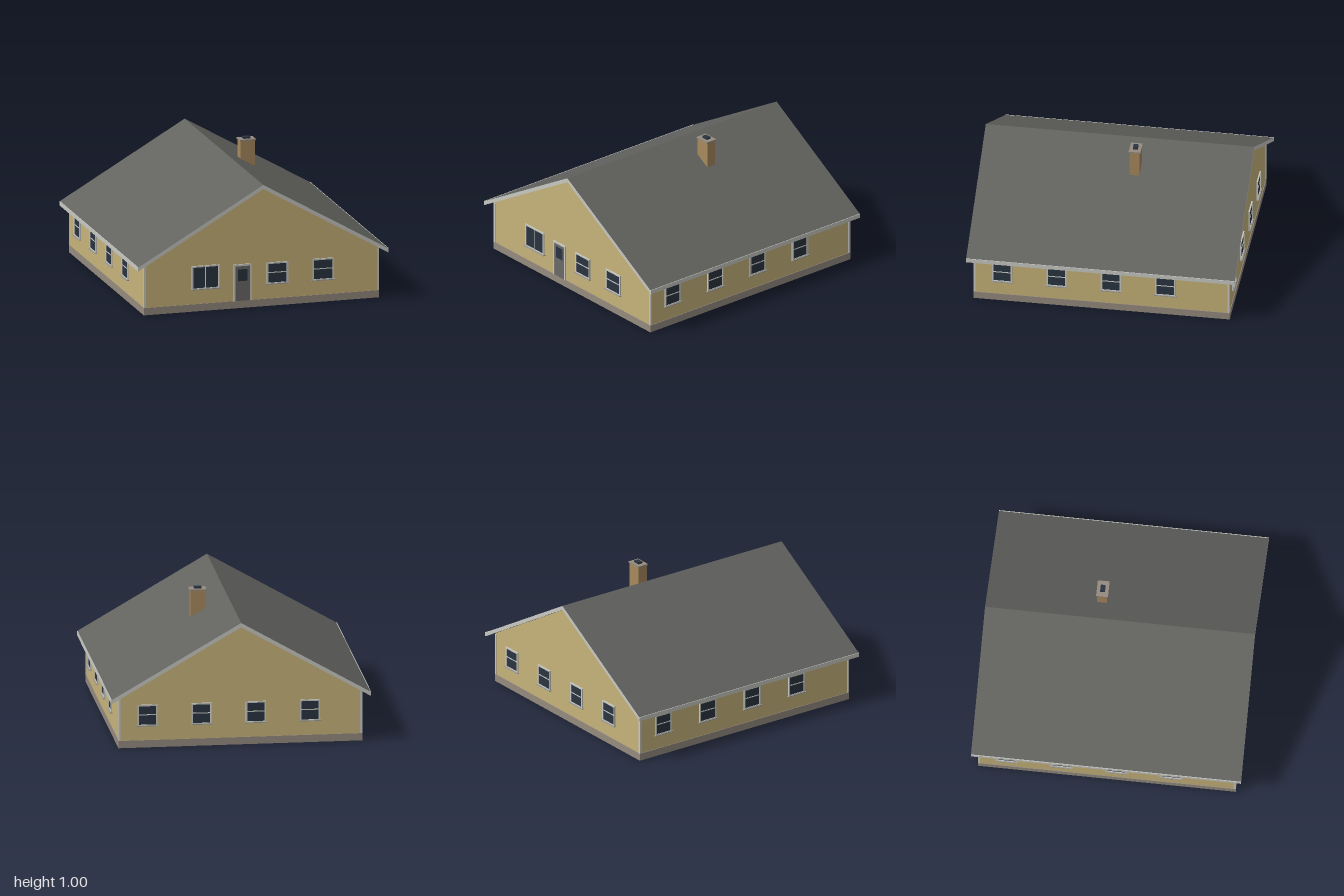
import * as THREE from 'three';

const mat = (name, color) => {
  const m = new THREE.MeshStandardMaterial({ color });
  m.name = name;
  return m;
};

export function createModel() {
  const M = {
    wall: mat('yellow siding', 0xc8b47a),
    roof: mat('dark grey shingle', 0x62625f),
    trim: mat('pale trim', 0xc9c9c4),
    stone: mat('grey foundation', 0x958b7f),
    glass: mat('dark glass', 0x2a3440),
    brick: mat('tan brick', 0xa88a5e),
    door: mat('grey door', 0x6b6a67),
    sill: mat('grey sill', 0x9a9a98),
  };
  const house = new THREE.Group();
  house.name = 'house';

  // Box given by its low and high corners
  const box = (parent, name, material, [x0, y0, z0], [x1, y1, z1]) => {
    const mesh = new THREE.Mesh(new THREE.BoxGeometry(x1 - x0, y1 - y0, z1 - z0), material);
    mesh.position.set((x0 + x1) / 2, (y0 + y1) / 2, (z0 + z1) / 2);
    mesh.name = name;
    parent.add(mesh);
    return mesh;
  };
  // Outline in x and y, extruded evenly about z = 0
  const prism = (name, materials, points, depth) => {
    const shape = new THREE.Shape(points.map(([x, y]) => new THREE.Vector2(x, y)));
    const geo = new THREE.ExtrudeGeometry(shape, { depth, bevelEnabled: false });
    geo.translate(0, 0, -depth / 2);
    const mesh = new THREE.Mesh(geo, materials);
    mesh.name = name;
    house.add(mesh);
  };

  const W = 0.9, D = 0.95, BASE = 0.055, EAVE = 0.385;

  // Foundation and walls with both gables
  box(house, 'foundation', M.stone, [-0.905, 0, -0.955], [0.905, BASE, 0.955]);
  prism('walls', M.wall, [[-W, BASE], [W, BASE], [W, EAVE], [0, 0.905], [-W, EAVE]], 2 * D);

  // Roof slabs: shingle on the slopes, trim on the gable ends
  prism('roof', [M.trim, M.roof],
    [[-0.96, 0.35], [0, 0.904], [0.96, 0.35], [0.96, 0.381], [0, 0.936], [-0.96, 0.381]], 2);

  for (const s of [-1, 1]) {
    // Eave boards
    const f = box(house, 'eaveBoard', M.trim, [-0.003, 0.35, -1], [0.003, 0.381, 1]);
    f.position.x = s * 0.962;
    // Corner boards
    for (const t of [-1, 1]) {
      const c = box(house, 'cornerBoard', M.trim, [-0.008, BASE, -0.008], [0.008, 0.376, 0.008]);
      c.position.x = s * 0.897;
      c.position.z = t * 0.947;
    }
  }

  // Rectangular surround on a wall plane; open at the foot for doors
  const surround = (g, x0, x1, y0, y1, w, foot) => {
    box(g, 'frameSide', M.trim, [x0, y0, 0], [x0 + w, y1, 0.01]);
    box(g, 'frameSide', M.trim, [x1 - w, y0, 0], [x1, y1, 0.01]);
    box(g, 'frameTop', M.trim, [x0 + w, y1 - w, 0], [x1 - w, y1, 0.01]);
    if (foot) box(g, 'frameFoot', M.trim, [x0 + w, y0, 0], [x1 - w, y0 + 0.006, 0.01]);
  };

  const addWindow = (side, cx, w, y0, y1, upright) => {
    const g = new THREE.Group();
    g.name = 'window';
    g.position.x = cx;
    const h = w / 2, ym = (y0 + y1) / 2;
    surround(g, -h, h, y0, y1, 0.011, true);
    box(g, 'pane', M.glass, [-h + 0.01, y0 + 0.005, 0], [h - 0.01, y1 - 0.01, 0.005]);
    if (upright) box(g, 'mullion', M.trim, [-0.003, y0, 0], [0.003, y1, 0.008]);
    else box(g, 'glazingBar', M.trim, [-h + 0.01, ym - 0.001, 0], [h - 0.01, ym + 0.006, 0.008]);
    box(g, 'sill', M.sill, [-h - 0.008, y0 - 0.006, 0], [h + 0.008, y0, 0.017]);
    side.add(g);
  };

  // Group whose local z points out of one wall
  const wallSide = (name, angle, dist) => {
    const g = new THREE.Group();
    g.name = name;
    g.rotation.y = angle;
    g.position.set(Math.sin(angle) * dist, 0, Math.cos(angle) * dist);
    house.add(g);
    return g;
  };

  // Front: picture window, door and two sash windows
  const front = wallSide('frontOpenings', 0, D);
  addWindow(front, -0.43, 0.215, 0.17, 0.345, true);
  for (const x of [0.122, 0.475]) addWindow(front, x, 0.165, 0.17, 0.33, false);
  const door = new THREE.Group();
  door.name = 'frontDoor';
  door.position.x = -0.145;
  surround(door, -0.07, 0.07, BASE, 0.333, 0.014, false);
  box(door, 'doorLeaf', M.door, [-0.057, BASE, 0], [0.057, 0.32, 0.006]);
  box(door, 'doorGlass', M.glass, [-0.036, 0.205, 0.004], [0.036, 0.295, 0.008]);
  front.add(door);

  // Sash windows round the other three walls
  for (const [name, angle, dist, xs] of [
    ['leftOpenings', Math.PI / 2, W, [-0.74, -0.335, 0.07, 0.475]],
    ['rightOpenings', -Math.PI / 2, W, [-0.74, -0.335, 0.07, 0.475]],
    ['backOpenings', Math.PI, D, [-0.69, -0.288, 0.115, 0.517]],
  ]) {
    const side = wallSide(name, angle, dist);
    for (const x of xs) addWindow(side, x, 0.15, 0.168, 0.325, false);
  }

  // Chimney
  box(house, 'chimneyStack', M.brick, [0.16, 0.76, -0.188], [0.272, 0.976, -0.112]);
  box(house, 'chimneyCap', M.stone, [0.154, 0.976, -0.194], [0.278, 0.986, -0.106]);
  box(house, 'chimneyFlue', M.glass, [0.19, 0.986, -0.168], [0.242, 1.0, -0.132]);

  return house;
}
